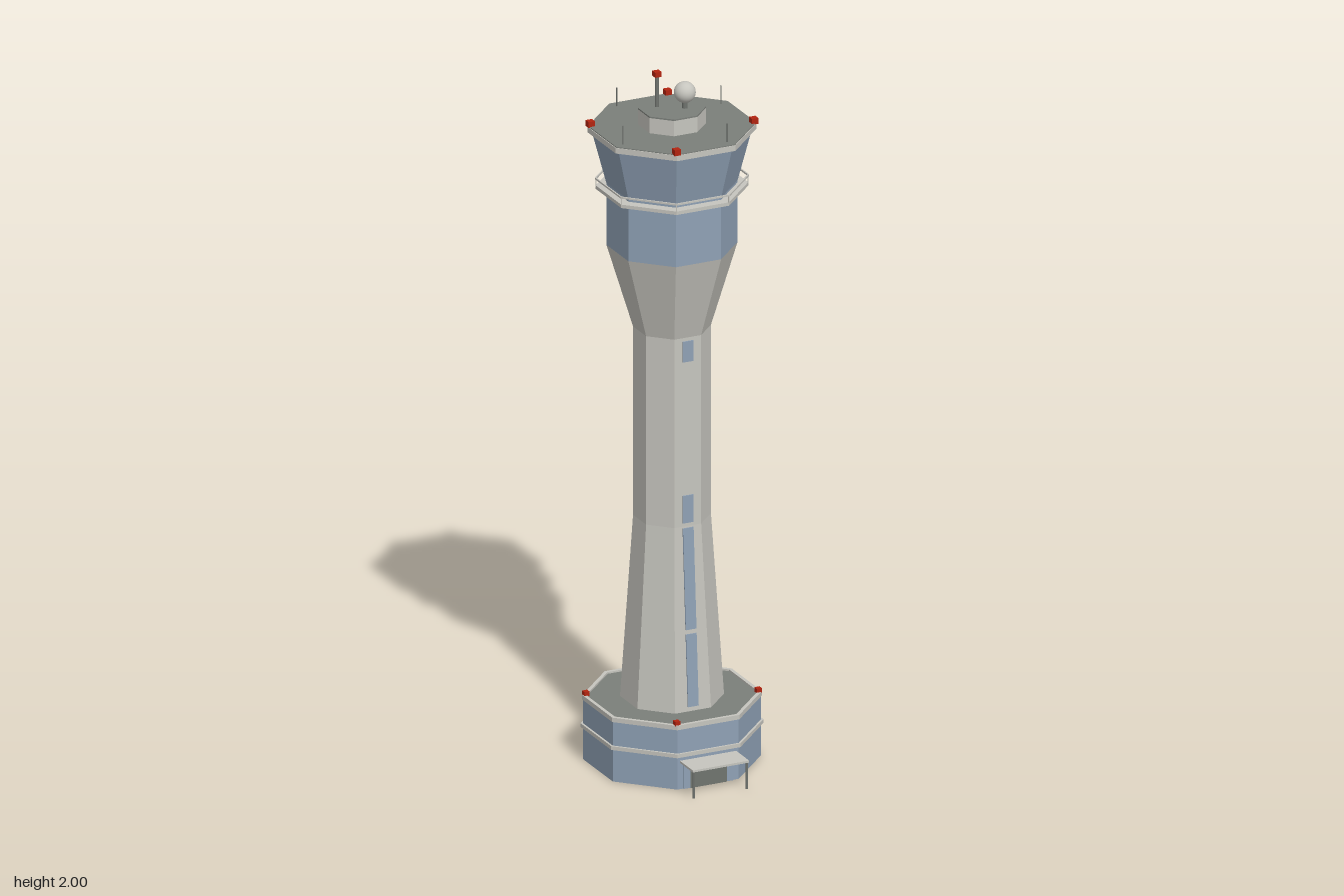
import * as THREE from 'three';

const mat = (name, color) => Object.assign(new THREE.MeshStandardMaterial({ color }), { name });
const concrete = mat('concrete', 0xc6c5be);
const glass = mat('blue glass', 0x8fa1b5);
glass.side = THREE.DoubleSide; // open-bottomed glazed walls
const roofGrey = mat('dark roof', 0x7b7f7a);
const metal = mat('grey metal', 0x70746f);
const red = mat('warning red', 0xb32410);

const K = Math.cos(Math.PI / 8);

export function createModel() {
  const group = new THREE.Group();
  const tower = new THREE.Group();
  tower.name = 'tower';
  tower.position.z = -0.04;
  group.add(tower);

  const add = (name, geo, material, x = 0, y = 0, z = 0, parent = tower) => {
    const mesh = new THREE.Mesh(geo, material);
    mesh.name = name;
    mesh.position.set(x, y, z);
    parent.add(mesh);
    return mesh;
  };

  // Octagonal frustum, sized by the distance from its axis to its flats
  const oct = (name, a0, a1, y0, y1, material, open = false) => {
    const geo = new THREE.CylinderGeometry(a1 / K, a0 / K, y1 - y0, 8, 1, open, Math.PI / 8).toNonIndexed();
    geo.computeVertexNormals();
    return add(name, geo, material, 0, (y0 + y1) / 2);
  };

  // Flat octagonal ring
  const corners = (a) => Array.from({ length: 8 }, (_, i) => {
    const t = (i + 0.5) * Math.PI / 4;
    return new THREE.Vector2(Math.cos(t) * a / K, Math.sin(t) * a / K);
  });
  const ring = (name, outer, inner, y0, y1, material) => {
    const shape = new THREE.Shape(corners(outer));
    shape.holes.push(new THREE.Path(corners(inner)));
    const geo = new THREE.ExtrudeGeometry(shape, { depth: y1 - y0, bevelEnabled: false });
    geo.rotateX(-Math.PI / 2);
    return add(name, geo, material, 0, y0);
  };

  const box = (name, w, h, d, material, x, y0, z, parent) =>
    add(name, new THREE.BoxGeometry(w, h, d), material, x, y0 + h / 2, z, parent);
  const rod = (name, r, h, material, x, y0, z, parent) =>
    add(name, new THREE.CylinderGeometry(r, r, h, 8), material, x, y0 + h / 2, z, parent);

  // Base building
  oct('baseWall', 0.224, 0.224, 0, 0.178, glass, true);
  ring('baseBand', 0.23, 0.222, 0.094, 0.105, concrete);
  oct('baseRoof', 0.218, 0.218, 0.172, 0.182, roofGrey);
  ring('baseRim', 0.226, 0.216, 0.174, 0.187, concrete);

  // Shaft
  oct('lowerShaft', 0.131, 0.098, 0.18, 0.71, concrete, true);
  oct('upperShaft', 0.098, 0.098, 0.71, 1.26, concrete, true);
  oct('shaftFlare', 0.098, 0.165, 1.26, 1.5, concrete);

  // Window strips lying on the front of the shaft
  const face = (y) => 0.098 + 0.033 * Math.max(0, (0.71 - y) / 0.53);
  for (const [y0, y1] of [[0.195, 0.402], [0.415, 0.705], [0.72, 0.8], [1.19, 1.25]]) {
    const h = y1 - y0, dz = face(y1) - face(y0);
    const strip = add('shaftWindow', new THREE.BoxGeometry(0.032, Math.hypot(h, dz), 0.005), glass,
      0, (y0 + y1) / 2, (face(y0) + face(y1)) / 2 + 0.001);
    strip.rotation.x = Math.atan2(dz, h);
  }

  // Control cab
  oct('cabLower', 0.165, 0.165, 1.5, 1.68, glass);
  oct('cabGlazing', 0.165, 0.202, 1.68, 1.832, glass);
  ring('balcony', 0.192, 0.16, 1.664, 1.674, concrete);
  ring('balconyRail', 0.194, 0.19, 1.692, 1.697, concrete);
  for (const p of corners(0.191)) rod('railPost', 0.002, 0.024, concrete, p.x, 1.67, p.y);
  oct('roofEdge', 0.213, 0.213, 1.83, 1.846, concrete);
  oct('roofTop', 0.211, 0.211, 1.844, 1.8485, roofGrey);

  // Rooftop equipment
  oct('equipmentRoom', 0.085, 0.085, 1.846, 1.893, concrete);
  oct('equipmentRoof', 0.085, 0.085, 1.893, 1.897, roofGrey);
  rod('radomeStand', 0.008, 0.035, metal, 0.03, 1.895, 0.018);
  add('radome', new THREE.SphereGeometry(0.03, 24, 16), concrete, 0.03, 1.943, 0.018);
  rod('mast', 0.006, 0.095, metal, -0.034, 1.895, -0.024);
  box('mastLight', 0.019, 0.015, 0.019, red, -0.034, 1.985, -0.024);

  // Warning lights and whip antennas, repeated every quarter turn
  for (let i = 0; i < 4; i++) {
    const t = i * Math.PI / 2, c = Math.cos(t), s = Math.sin(t);
    const at = (x, z) => [x * c - z * s, x * s + z * c];
    let [x, z] = at(0.205, 0.086);
    box('roofLight', 0.019, 0.017, 0.019, red, x, 1.846, z);
    [x, z] = at(0.216, 0.091);
    box('baseLight', 0.015, 0.013, 0.015, red, x, 0.185, z);
    [x, z] = at(0.185, -0.077);
    rod('whipAntenna', 0.0015, 0.055, metal, x, 1.847, z);
  }

  // Entrance with doors and canopy
  box('doorFrame', 0.15, 0.078, 0.004, glass, 0, 0, 0.185, group);
  box('door', 0.11, 0.065, 0.006, metal, 0, 0, 0.186, group);
  box('canopy', 0.17, 0.006, 0.084, concrete, 0, 0.077, 0.223, group);
  for (const side of [-1, 1]) {
    rod('canopyPost', 0.0035, 0.078, metal, side * 0.08, 0, 0.26, group);
  }
  return group;
}
